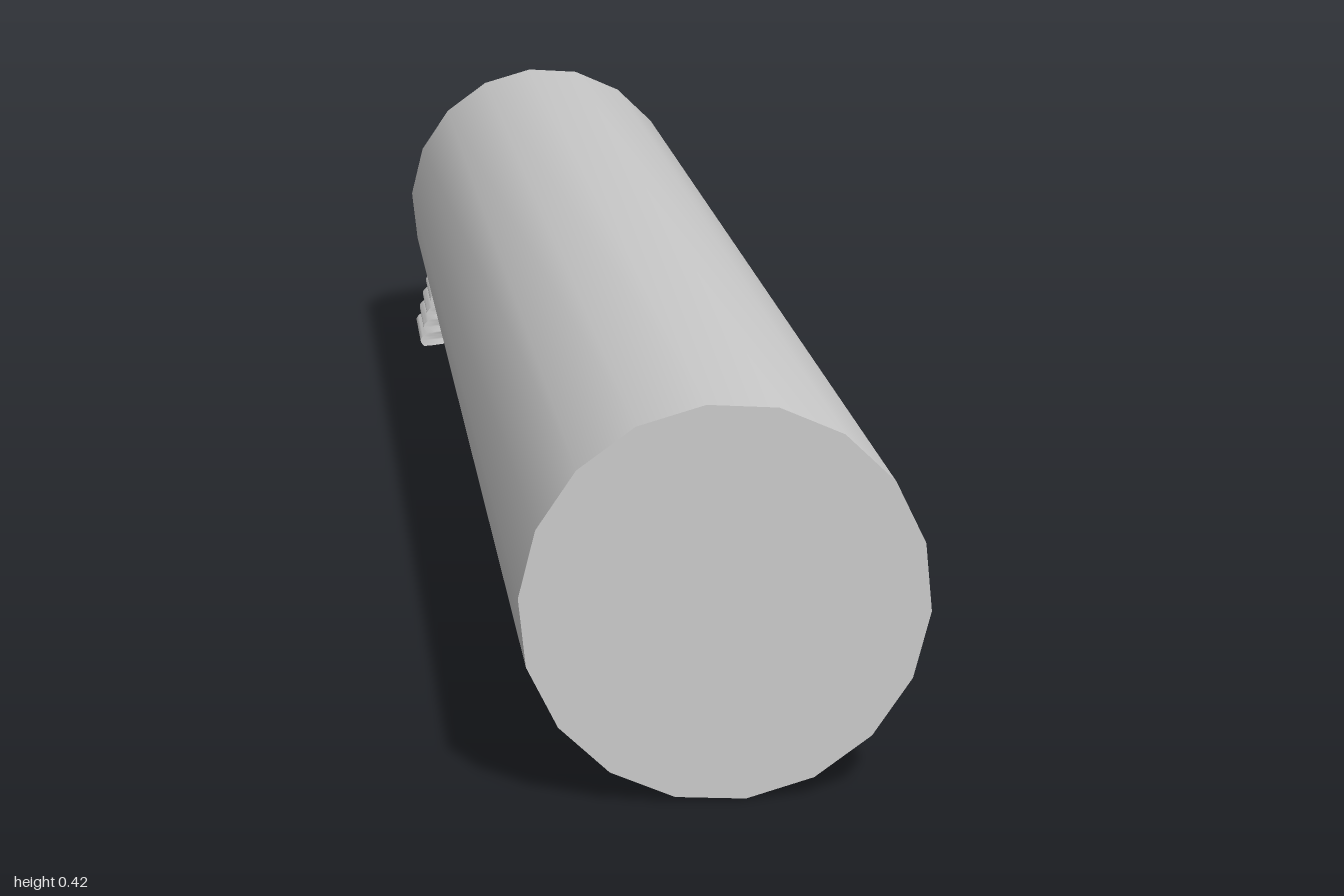
import * as THREE from 'three';
import { toCreasedNormals } from 'three/addons/utils/BufferGeometryUtils.js';

const SIDES = 18;
const grey = new THREE.MeshStandardMaterial({ color: 0xcccccc });

// Turned part along z; profile is [radius, distance towards the back]
function turned(name, profile) {
  const points = profile.map(([r, d]) => new THREE.Vector2(r, d));
  const geo = new THREE.LatheGeometry(points, SIDES, THREE.MathUtils.degToRad(14));
  geo.rotateX(-Math.PI / 2);
  const mesh = new THREE.Mesh(toCreasedNormals(geo, 0.6), grey);
  mesh.name = name;
  return mesh;
}

// Quarter-round corner ending flat at the back
function rounded(radius, back, fillet, steps = 4) {
  const out = [];
  for (let i = 0; i <= steps; i++) {
    const a = (i / steps) * Math.PI / 2;
    out.push([radius - fillet + fillet * Math.cos(a), back - fillet + fillet * Math.sin(a)]);
  }
  return out;
}

// Foot: block with a recessed front and ribbed, tapering ends
function makeFoot() {
  const height = 0.085, steps = 32, w = 0.2;
  const plan = new THREE.Shape();
  plan.moveTo(w, 0.862);
  plan.lineTo(w, 1);
  plan.lineTo(-w, 1);
  plan.lineTo(-w, 0.862);
  plan.lineTo(-0.19, 0.862);
  plan.quadraticCurveTo(-0.135, 0.877, -0.1, 0.92);
  plan.lineTo(0.1, 0.92);
  plan.quadraticCurveTo(0.135, 0.877, 0.19, 0.862);
  const geo = new THREE.ExtrudeGeometry(plan, { depth: height, steps, bevelEnabled: false, curveSegments: 6 });
  geo.rotateX(-Math.PI / 2);
  const pos = geo.attributes.position;
  for (let i = 0; i < pos.count; i++) {
    const t = pos.getY(i) / height;
    const half = 0.197 - 0.024 * t + 0.008 * Math.abs(Math.sin(4 * Math.PI * t));
    pos.setX(i, pos.getX(i) * half / w);
  }
  const foot = new THREE.Mesh(toCreasedNormals(geo, 0.6), grey);
  foot.name = 'foot';
  foot.position.set(-0.005, 0.009, 0);
  foot.rotation.z = 0.035;
  return foot;
}

export function createModel() {
  const model = new THREE.Group();
  model.name = 'cylinderOnFoot';

  // Barrel and end knob share a slightly tilted axis
  const barrel = new THREE.Group();
  barrel.name = 'barrel';
  barrel.position.set(-0.001, 0.214, 0);
  barrel.rotation.set(0.0062, 0.0093, 0);
  barrel.add(
    turned('body', [[0, -1], [0.206, -1], ...rounded(0.206, 0.94, 0.025), [0, 0.94]]),
    turned('knobFlange', [[0, 0.93], [0.113, 0.93], ...rounded(0.113, 0.967, 0.008, 3), [0, 0.967]]),
    turned('knob', [[0, 0.95], [0.1, 0.95], ...rounded(0.1, 1, 0.018),
      [0.074, 1], [0.074, 0.992], [0, 0.982]])
  );

  model.add(barrel, makeFoot());
  return model;
}
